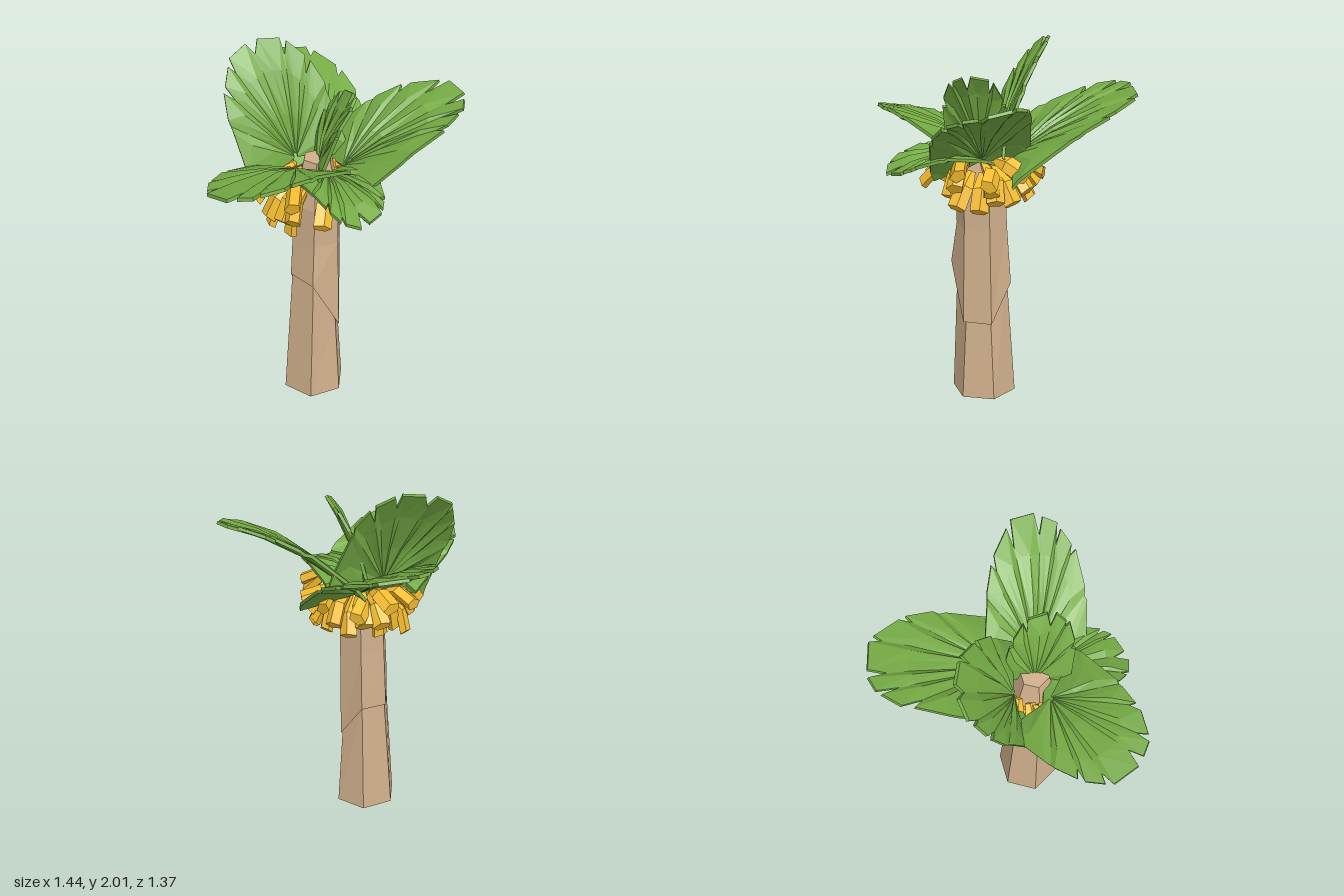
import * as THREE from 'three';

const V = (x, y, z) => new THREE.Vector3(x, y, z);
const mat = (color) => new THREE.MeshStandardMaterial({ color, flatShading: true });

// small seeded generator, returns -1..1
let seed = 7;
const rnd = () => {
  seed = (seed * 16807) % 2147483647;
  return (seed / 2147483647) * 2 - 1;
};

// Six-sided trunk; every corner has an overhanging bark ledge at its own height
function makeTrunk(material) {
  const geo = new THREE.CylinderGeometry(1, 1, 1, 6, 5, false, Math.PI / 6);
  const ledge = [0.45, 0.46, 0.77, 0.78, 0.65, 0.66];
  const overhang = [0.152, 0.165, 0.178, 0.15, 0.152, 0.162];
  const p = geo.attributes.position;
  for (let i = 0; i < p.count; i++) {
    const row = Math.round((p.getY(i) + 0.5) * 5);
    const k = (Math.round(Math.atan2(p.getZ(i), p.getX(i)) / (Math.PI / 3)) + 6) % 6;
    const b = ledge[k];
    const y = [0, b + 0.02, b, 1.0, 1.22, 1.48][row];
    const r = [0.18, 0.14, overhang[k], 0.142, 0.138, 0.08][row];
    p.setXYZ(i, p.getX(i) * r - 0.04 + 0.01 * y, y, p.getZ(i) * r + 0.14 + 0.01 * y);
  }
  return new THREE.Mesh(geo, material);
}

// Pleated fan leaf: a thin slab spread from base to tip, with notches between the outer lobes
function makeLeaf({ base, tip, side, width, arch = 0.03, fold = 0.1, lobes = 8 }, material) {
  const dir = tip.clone().sub(base);
  const len = dir.length();
  dir.normalize();
  const across = side.clone().addScaledVector(dir, -side.dot(dir)).normalize();
  const up = new THREE.Vector3().crossVectors(dir, across);
  const pos = [], idx = [];
  const fr = [0.03, 0.35, 0.72, 1];
  const cols = lobes * 3 + 1, rows = fr.length;
  const thick = 0.009;
  const shape = Array.from({ length: lobes + 1 }, (_, i) => {
    const outer = Math.abs((i / lobes) * 2 - 1) > 0.7;
    return { notch: outer ? 0.97 : 0.86 + 0.06 * rnd(), shift: outer ? 0 : 0.25 * rnd(), reach: 0.985 + 0.025 * rnd() };
  });

  for (const s of [1, -1]) {
    for (let c = 0; c < cols; c++) {
      const lobe = Math.floor(c / 3), part = c % 3;
      const { notch, shift, reach } = shape[lobe];
      const next = shape[Math.min(lobe + 1, lobes)].shift;
      for (const f of fr) {
        const gap = f === 1 ? 0.13 : 0.3;
        const spread = [0, gap, 1 - gap][part];
        const t = (((lobe + spread + shift * (1 - spread) + next * spread) / lobes) * 2 - 1) * 1.65;
        const a = Math.sign(Math.cos(t)) * Math.abs(Math.cos(t)) ** 0.75;
        const b = Math.sign(t) * Math.abs(Math.sin(t)) ** 0.75;
        const e = f === 1 ? (part === 0 ? notch : reach) : f;
        const u = a * e, v = b * e * width;
        const pleat = [-0.01, 0.008, 0][part] * Math.sin(Math.PI * Math.min(f, 0.8));
        const h = arch * 4 * u * (1 - u) + fold * Math.abs(v) + pleat + s * thick;
        const q = base.clone().addScaledVector(dir, u * len).addScaledVector(across, v).addScaledVector(up, h);
        pos.push(q.x, q.y, q.z);
      }
    }
  }
  const n = cols * rows;
  const quad = (a, b, c, d) => idx.push(a, b, c, a, c, d);
  for (let c = 0; c < cols - 1; c++) {
    const A = c * rows, B = A + rows;
    for (let r = 0; r < rows - 1; r++) {
      quad(A + r, A + r + 1, B + r + 1, B + r);
      quad(n + A + r, n + B + r, n + B + r + 1, n + A + r + 1);
    }
    const o = rows - 1;
    quad(A + o, n + A + o, n + B + o, B + o);
    quad(A, B, n + B, n + A);
  }
  // side rims
  const E = (cols - 1) * rows;
  for (let r = 0; r < rows - 1; r++) {
    quad(r, n + r, n + r + 1, r + 1);
    quad(E + r, E + r + 1, n + E + r + 1, n + E + r);
  }
  const geo = new THREE.BufferGeometry();
  geo.setAttribute('position', new THREE.Float32BufferAttribute(pos, 3));
  geo.setIndex(idx);
  geo.computeVertexNormals();
  return new THREE.Mesh(geo, material);
}

// Flattened five-sided fruit, narrow at the stalk and bent along its length
function makeFruitGeometry() {
  const geo = new THREE.CylinderGeometry(1, 1, 1, 5, 2);
  const p = geo.attributes.position;
  const radius = [0.022, 0.05, 0.052];
  for (let i = 0; i < p.count; i++) {
    const row = Math.round((0.5 - p.getY(i)) * 2);
    const s = row / 2, r = radius[row];
    p.setXYZ(i, p.getX(i) * r, -0.23 * s, p.getZ(i) * r * 0.65 + 0.14 * s * (1 - s));
  }
  geo.computeVertexNormals();
  return geo;
}

export function createModel() {
  seed = 7;
  const model = new THREE.Group();
  const bark = mat(0xd0b08c), green = mat(0x74aa44), yellow = mat(0xf4bc30);
  green.side = THREE.DoubleSide;

  const trunk = makeTrunk(bark);
  trunk.name = 'trunk';
  model.add(trunk);

  // Leaves
  const leaves = new THREE.Group();
  leaves.name = 'leaves';
  const specs = {
    tallBackLeaf: { base: V(-0.09, 1.43, 0.02), tip: V(-0.2, 1.99, -0.3), side: V(-1, 0, -0.25), width: 0.29 },
    backLeaf: { base: V(0.07, 1.4, 0), tip: V(0.14, 1.74, -0.68), side: V(-1, 0.03, 0), width: 0.32, arch: 0.04, fold: 0.03 },
    leftLeaf: { base: V(0.11, 1.41, 0.19), tip: V(0.72, 1.78, 0.35), side: V(0, 0.1, -1), width: 0.28, arch: 0.05, fold: 0.06 },
    rightLeaf: { base: V(-0.17, 1.46, 0.2), tip: V(-0.67, 1.56, 0.5), side: V(0.5, 0.24, 0.85), width: 0.29, arch: 0.03, fold: 0 },
    frontLeaf: { base: V(0, 1.41, 0.22), tip: V(0, 1.33, 0.68), side: V(1, 0, 0), width: 0.2, arch: 0.05, fold: 0.08 },
    smallUprightLeaf: { base: V(-0.02, 1.43, 0.16), tip: V(0.14, 1.87, 0.27), side: V(0.3, 0, -1), width: 0.18, lobes: 6 },
  };
  for (const [name, spec] of Object.entries(specs)) {
    const leaf = makeLeaf(spec, green);
    leaf.name = name;
    leaves.add(leaf);
  }
  model.add(leaves);

  // Rings of hanging fruit, open at the front in the lower rings
  const fruit = new THREE.Group();
  fruit.name = 'fruitBunches';
  const fruitGeo = makeFruitGeometry();
  const rings = [
    { count: 11, y: 1.37, r: 0.12, tilt: 1.3, open: 0.85 },
    { count: 13, y: 1.38, r: 0.13, tilt: 0.95, open: 1 },
    { count: 12, y: 1.34, r: 0.13, tilt: 0.55, open: 0.9 },
  ];
  for (const { count, y, r, tilt, open } of rings) {
    for (let i = 0; i < count; i++) {
      const a = ((i + 0.5) / count) * Math.PI * 2;
      const j1 = rnd(), j2 = rnd(), j3 = rnd();
      if (Math.cos(a) > open) continue;
      const arm = new THREE.Group();
      arm.name = 'fruitArm';
      arm.position.set(-0.03, y + 0.03 * j1, 0.15);
      arm.rotation.y = a + 0.15 * j2;
      const m = new THREE.Mesh(fruitGeo, yellow);
      m.name = 'fruit';
      m.position.z = r;
      m.rotation.set(-tilt + 0.22 * j3, 0.7 * j2, 0.35 * j1);
      arm.add(m);
      fruit.add(arm);
    }
  }
  model.add(fruit);
  return model;
}
